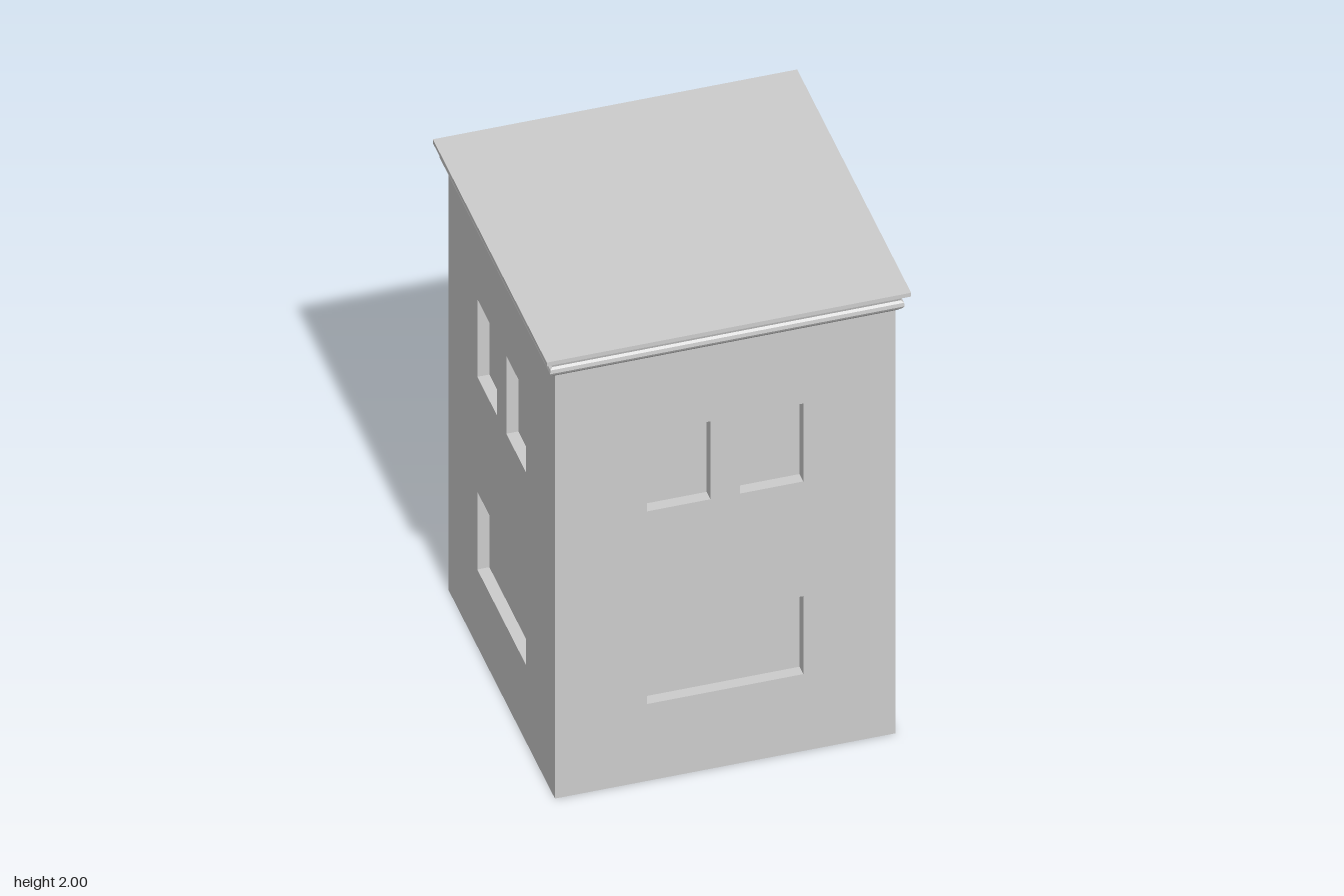
import * as THREE from 'three';

const HALF = 0.633;    // half width of the walls
const RECESS = 0.045;  // depth of windows and doorway
const grey = new THREE.MeshStandardMaterial({ color: 0xcccccc, flatShading: true });

function addMesh(parent, name, geometry) {
  const mesh = new THREE.Mesh(geometry, grey);
  mesh.name = name;
  parent.add(mesh);
  return mesh;
}

// Rectangle from [left, right, bottom, top]
function rect(Type, [l, r, b, t]) {
  const p = new Type();
  p.moveTo(l, b).lineTo(r, b).lineTo(r, t).lineTo(l, t).closePath();
  return p;
}

// Slab with rectangular openings
function pierced(outline, holes, depth) {
  const shape = rect(THREE.Shape, outline);
  for (const h of holes) shape.holes.push(rect(THREE.Path, h));
  return new THREE.ExtrudeGeometry(shape, { depth, bevelEnabled: false });
}

// Rough planks nailed across a window; rows are [yLeft, yRight, height, yaw, lift]
function addBoards(wall, name, left, right, rows) {
  const group = new THREE.Group();
  group.name = name;
  rows.forEach(([y0, y1, h, yaw = 0, lift = 0], i) => {
    const nudge = 0.012 * (((i * 7) % 5) / 2 - 1);
    const len = right - left - 0.015 * (i % 3);
    const plank = addMesh(group, 'plank', new THREE.BoxGeometry(Math.hypot(len, y1 - y0), h, 0.012));
    plank.position.set((left + right) / 2 + nudge, (y0 + y1) / 2, HALF + 0.008 + 0.006 * (i % 3) + lift);
    plank.rotation.set(0, yaw || 0.015 * ((i % 3) - 1), Math.atan2(y1 - y0, len));
  });
  wall.add(group);
}

export function createModel() {
  const house = new THREE.Group();
  house.name = 'house';
  const body = new THREE.Group();
  body.name = 'body';
  body.position.z = 0.006;
  house.add(body);

  // Solid core behind the wall skins
  const inner = HALF - RECESS;
  addMesh(body, 'core', new THREE.BoxGeometry(inner * 2, 1.91, inner * 2)).position.y = 0.955;

  // Each wall is laid out facing +z, then turned to its side
  function addWall(name, yaw, halfWidth, openings) {
    const wall = new THREE.Group();
    wall.name = name;
    wall.rotation.y = yaw;
    addMesh(wall, name + 'Skin', pierced([-halfWidth, halfWidth, 0, 1.91], openings, RECESS)).position.z = inner;
    body.add(wall);
    return wall;
  }

  const windows = [[-0.29, -0.055, 1.21, 1.56], [0.055, 0.29, 1.21, 1.56], [-0.29, 0.29, 0.345, 0.695]];
  const doorway = [-0.17, 0.175, 0.16, 0.86];
  const backOpenings = [
    [-0.54, -0.1, 1.39, 1.71], [0.1, 0.54, 1.39, 1.71],
    [-0.53, -0.29, 0.345, 0.68], [0.29, 0.53, 0.345, 0.68], doorway,
  ];
  addWall('frontWall', 0, HALF, windows);
  addWall('rightHandWall', -Math.PI / 2, inner, windows);
  const side = addWall('leftHandWall', Math.PI / 2, inner, windows);
  const back = addWall('backWall', Math.PI, HALF, backOpenings);

  // Boarded windows on the side
  addBoards(side, 'upperBoardsA', -0.355, -0.05, [
    [1.5, 1.54, 0.06], [1.43, 1.475, 0.055], [1.375, 1.41, 0.05],
    [1.34, 1.34, 0.045], [1.28, 1.3, 0.05], [1.235, 1.24, 0.045]]);
  addBoards(side, 'upperBoardsB', 0.0, 0.31, [
    [1.5, 1.54, 0.055], [1.47, 1.45, 0.05], [1.41, 1.4, 0.04],
    [1.29, 1.41, 0.04], [1.27, 1.31, 0.04], [1.25, 1.235, 0.045]]);
  addBoards(side, 'lowerBoardsA', -0.345, -0.04, [
    [0.69, 0.62, 0.04], [0.6, 0.605, 0.05], [0.53, 0.575, 0.045],
    [0.53, 0.49, 0.045], [0.44, 0.47, 0.05], [0.39, 0.39, 0.045]]);
  addBoards(side, 'lowerBoardsB', 0.01, 0.31, [
    [0.65, 0.685, 0.05], [0.6, 0.62, 0.045], [0.58, 0.54, 0.045],
    [0.49, 0.5, 0.045], [0.43, 0.46, 0.04], [0.41, 0.365, 0.045]]);

  // Boarded windows at the back
  addBoards(back, 'backUpperBoardsA', -0.575, -0.05, [
    [1.69, 1.71, 0.06], [1.67, 1.55, 0.06], [1.52, 1.62, 0.05],
    [1.5, 1.48, 0.06, 0.09, 0.02], [1.37, 1.43, 0.06]]);
  addBoards(back, 'backUpperBoardsB', 0.045, 0.59, [
    [1.69, 1.73, 0.06], [1.66, 1.6, 0.07], [1.58, 1.62, 0.06],
    [1.5, 1.5, 0.07, 0.09, 0.02], [1.4, 1.43, 0.06]]);
  addBoards(back, 'backLowerBoardsA', -0.565, -0.24, [
    [0.65, 0.66, 0.045], [0.6, 0.56, 0.045], [0.5, 0.56, 0.045],
    [0.49, 0.45, 0.045], [0.4, 0.44, 0.04], [0.33, 0.38, 0.045]]);
  addBoards(back, 'backLowerBoardsB', 0.24, 0.56, [
    [0.64, 0.65, 0.045], [0.58, 0.6, 0.04], [0.56, 0.5, 0.045],
    [0.45, 0.48, 0.045], [0.42, 0.38, 0.045], [0.35, 0.37, 0.045]]);

  // Panelled door set into the doorway
  const door = new THREE.Group();
  door.name = 'door';
  door.position.z = inner;
  addMesh(door, 'doorLeaf', pierced(doorway, [
    [-0.1, 0.11, 0.5, 0.82], [-0.1, -0.01, 0.3, 0.465], [0.02, 0.11, 0.3, 0.465]], 0.018));
  addMesh(door, 'letterSlot', new THREE.BoxGeometry(0.1, 0.028, 0.012)).position.set(0.01, 0.235, 0.02);
  back.add(door);

  // Moulded cornice and flat roof: a square turned profile
  const profile = [[0, 1.9], [0.634, 1.9], [0.652, 1.918], [0.659, 1.93], [0.657, 1.945],
    [0.648, 1.952], [0.652, 1.966], [0.662, 1.977], [0.677, 1.983], [0.677, 2], [0, 2]]
    .map(([r, y]) => new THREE.Vector2(r * Math.SQRT2, y));
  addMesh(body, 'cornice', new THREE.LatheGeometry(profile, 4).rotateY(Math.PI / 4));

  return house;
}
